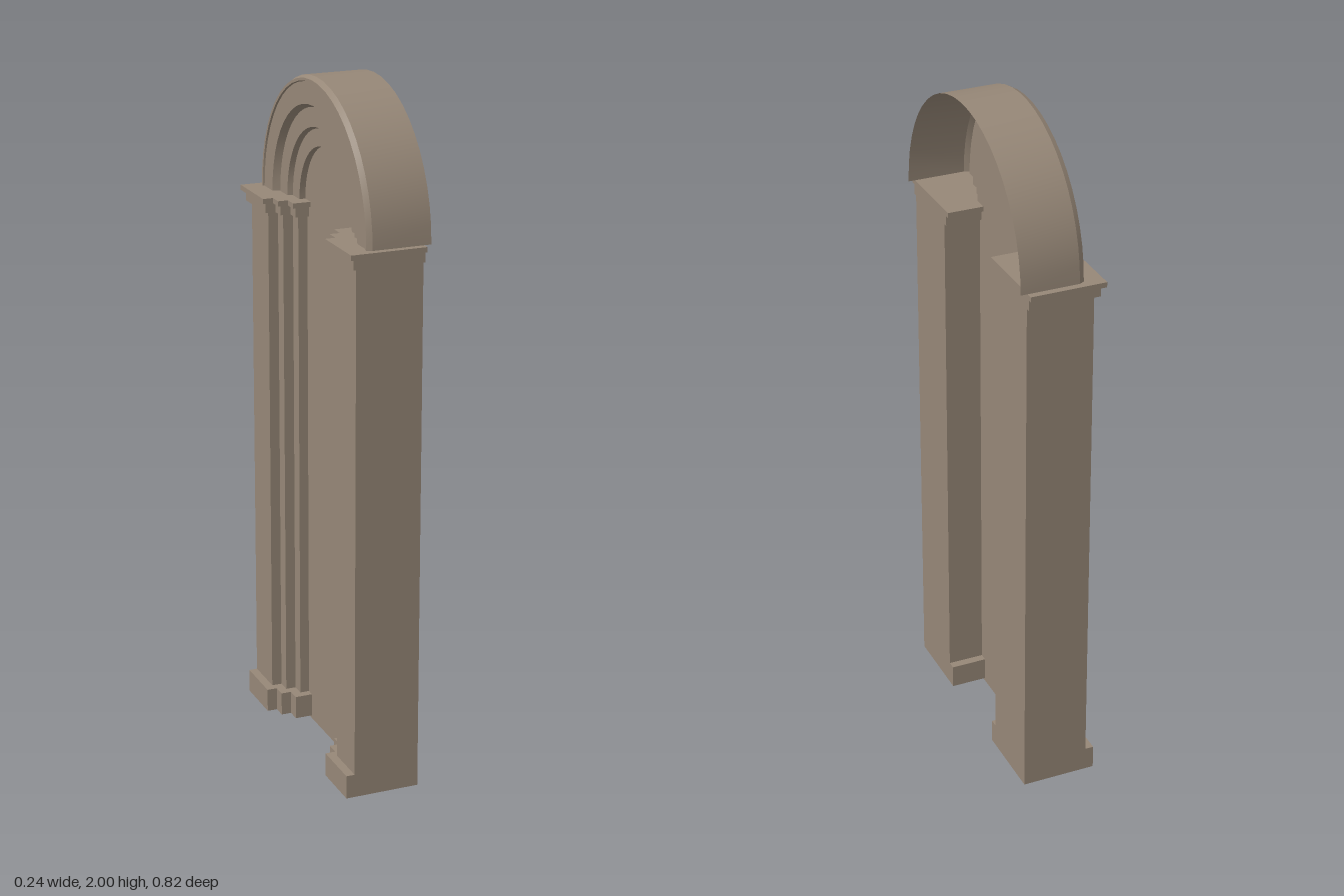
import * as THREE from 'three';
import { toCreasedNormals } from 'three/addons/utils/BufferGeometryUtils.js';

const SPRING = 1.61; // height where the arch starts

export function createModel() {
  const group = new THREE.Group();
  const stone = new THREE.MeshStandardMaterial({ color: 0x968777 });
  const thinStone = new THREE.MeshStandardMaterial({ color: 0x968777, side: THREE.DoubleSide });

  const add = (parent, name, geometry, material) => {
    const mesh = new THREE.Mesh(geometry, material);
    mesh.name = name;
    parent.add(mesh);
  };

  // Stepped pier plan extruded upwards; "grow" widens the moulded sides, "outer" the outer side
  const pierSlab = (side, y0, y1, grow = 0, outer = 0) => {
    const plan = [
      [0.1, 0.385 + outer], [-0.095 - grow, 0.385 + outer],
      [-0.095 - grow, 0.255 - grow], [-0.065 - grow, 0.255 - grow],
      [-0.065 - grow, 0.215 - grow], [-0.035 - grow, 0.215 - grow],
      [-0.035 - grow, 0.175 - grow], [0.1, 0.175 - grow],
    ];
    const shape = new THREE.Shape(plan.map(([x, z]) => new THREE.Vector2(x, z * side)));
    const geo = new THREE.ExtrudeGeometry(shape, { depth: y1 - y0, bevelEnabled: false });
    return geo.rotateX(Math.PI / 2).translate(0, y1, 0);
  };

  // Two mirrored piers with plinth and capital
  for (const side of [1, -1]) {
    const pier = new THREE.Group();
    pier.name = side > 0 ? 'frontPier' : 'backPier';
    add(pier, 'plinth', pierSlab(side, 0.01, 0.08, 0.025), stone);
    add(pier, 'shaft', pierSlab(side, 0.08, 1.565), stone);
    add(pier, 'capitalNeck', pierSlab(side, 1.565, 1.595, 0.013, 0.013), stone);
    add(pier, 'capitalPlate', pierSlab(side, 1.595, SPRING, 0.025, 0.025), stone);
    group.add(pier);
  }

  // Arch shell: stepped mouldings (radius, x) swept half a turn about the x axis
  const profile = [
    [0.19, -0.007], [0.19, -0.025], [0.24, -0.025], [0.245, -0.04],
    [0.3, -0.04], [0.31, -0.06], [0.372, -0.06], [0.374, -0.065],
    [0.382, -0.065], [0.39, -0.05], [0.39, 0.12],
  ].map(([r, x]) => new THREE.Vector2(r, x));
  const arch = new THREE.LatheGeometry(profile, 24, Math.PI, Math.PI);
  arch.rotateZ(-Math.PI / 2).translate(0, SPRING, 0);
  add(group, 'arch', toCreasedNormals(arch, 0.4), thinStone);

  // Thin round-headed panel closing the opening
  const panel = new THREE.Shape();
  panel.moveTo(-0.19, 0);
  panel.lineTo(0.19, 0);
  panel.lineTo(0.19, SPRING);
  panel.absarc(0, SPRING, 0.19, 0, Math.PI, false);
  panel.closePath();
  const panelGeo = new THREE.ShapeGeometry(panel, 24);
  panelGeo.rotateY(-Math.PI / 2).translate(-0.007, 0, 0);
  add(group, 'panel', panelGeo, thinStone);

  return group;
}
